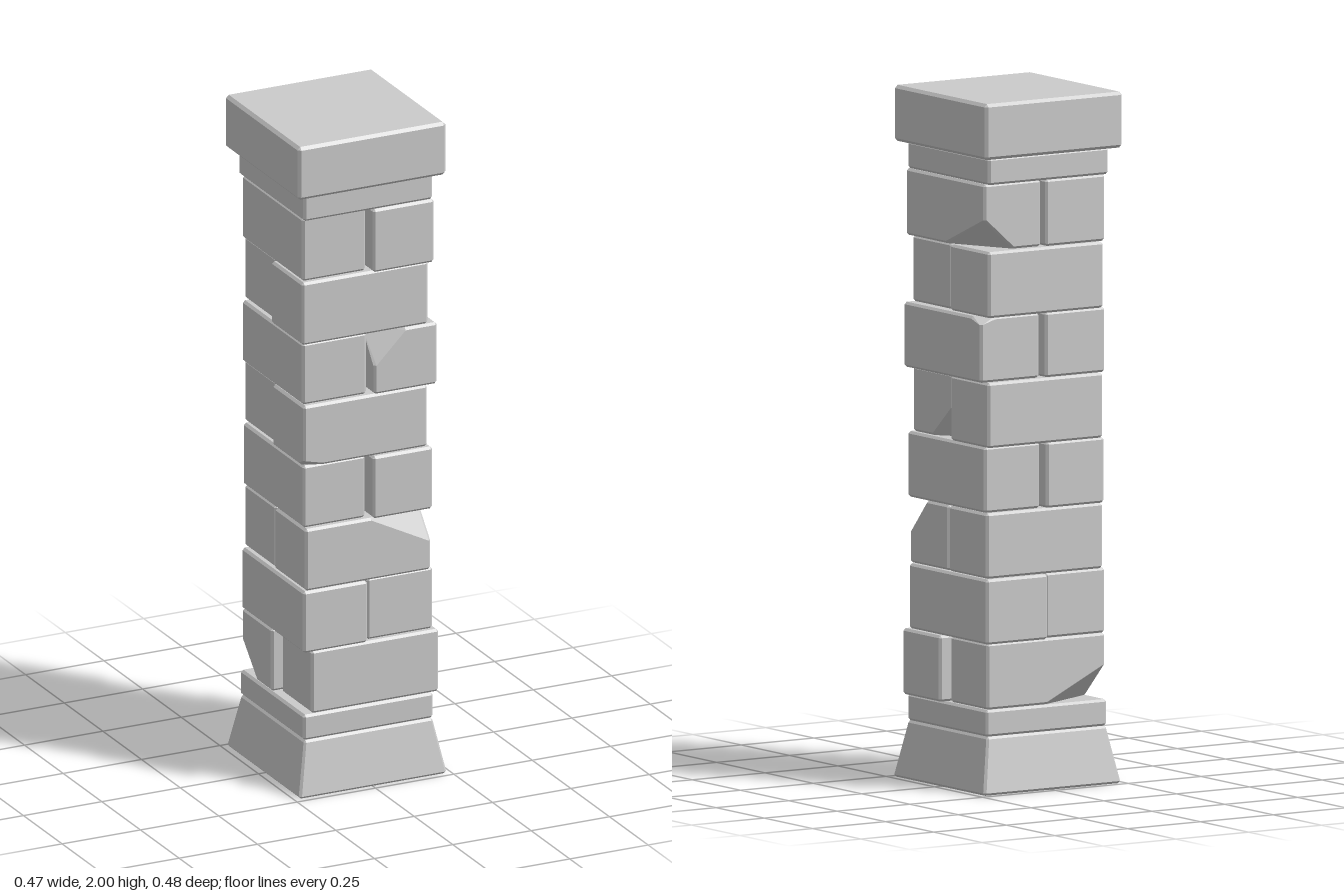
import * as THREE from 'three';
import { ConvexGeometry } from 'three/addons/geometries/ConvexGeometry.js';

const material = new THREE.MeshStandardMaterial({ color: 0xcccccc, flatShading: true });

// Chamfered block between min and max. A chip is { at: corner signs, cut: lengths along x, y, z }.
function block(name, min, max, { bevel = 0.007, chips = [], taper = 1 } = {}) {
  const points = [];
  for (const sx of [-1, 1]) for (const sy of [-1, 1]) for (const sz of [-1, 1]) {
    const sign = [sx, sy, sz];
    const corner = sign.map((s, i) => (s < 0 ? min[i] : max[i]));
    const inset = (offsets) => {
      const p = corner.map((c, i) => c - sign[i] * offsets[i]);
      const k = sy > 0 ? taper : 1;
      points.push(new THREE.Vector3(p[0] * k, p[1], p[2] * k));
    };
    const chip = chips.find((c) => c.at.every((s, i) => s === sign[i]));
    for (let a = 0; a < 3; a++) {
      if (!chip) {
        inset([0, 1, 2].map((i) => (i === a ? 0 : bevel)));
        continue;
      }
      // Broken corner: move it back along each of its three edges
      for (const b of [(a + 1) % 3, (a + 2) % 3]) {
        inset([0, 1, 2].map((i) => (i === a ? chip.cut[a] : i === b ? bevel : 0)));
      }
    }
  }
  const mesh = new THREE.Mesh(new ConvexGeometry(points), material);
  mesh.name = name;
  return mesh;
}

export function createModel() {
  const group = new THREE.Group();
  group.name = 'brickColumn';

  // Plinth and cap
  group.add(
    block('base', [-0.235, 0, -0.237], [0.235, 0.165, 0.237], { taper: 0.875 }),
    block('lowerSlab', [-0.207, 0.165, -0.206], [0.207, 0.242, 0.206]),
    block('upperSlab', [-0.21, 1.76, -0.21], [0.202, 1.838, 0.214]),
    block('cap', [-0.24, 1.838, -0.24], [0.232, 2, 0.24], { bevel: 0.009 }),
  );

  // Courses from the bottom up. Each has two bricks lying along one axis:
  // from/to along that axis, near/far across it.
  const courses = [
    { along: 'x', y: [0.242, 0.433], bricks: [
      { from: -0.205, to: 0.2, near: -0.2, far: -0.006, chips: [{ at: [-1, -1, -1], cut: [0.2, 0.1, 0.1] }] },
      { from: -0.18, to: 0.226, near: 0.008, far: 0.203 }] },
    { along: 'z', y: [0.433, 0.621], bricks: [
      { from: -0.195, to: 0.208, near: -0.208, far: -0.003 },
      { from: -0.217, to: 0.19, near: 0.003, far: 0.213 }] },
    { along: 'x', y: [0.621, 0.81], bricks: [
      { from: -0.195, to: 0.204, near: -0.203, far: -0.004 },
      { from: -0.2, to: 0.2, near: 0.003, far: 0.204, chips: [{ at: [1, 1, 1], cut: [0.19, 0.1, 0.09] }] }] },
    { along: 'z', y: [0.81, 1.0], bricks: [
      { from: -0.203, to: 0.19, near: -0.2, far: -0.002 },
      { from: -0.19, to: 0.213, near: 0.012, far: 0.202 }] },
    { along: 'x', y: [1.0, 1.188], bricks: [
      { from: -0.19, to: 0.205, near: -0.212, far: -0.014 },
      { from: -0.205, to: 0.19, near: -0.002, far: 0.203, chips: [
        { at: [1, -1, -1], cut: [0.08, 0.09, 0.1] }, { at: [-1, -1, 1], cut: [0.06, 0.02, 0.03] }] }] },
    { along: 'z', y: [1.188, 1.376], bricks: [
      { from: -0.203, to: 0.19, near: -0.203, far: 0.002 },
      { from: -0.195, to: 0.206, near: 0.018, far: 0.22, chips: [
        { at: [-1, 1, 1], cut: [0.1, 0.1, 0.08] }, { at: [1, 1, -1], cut: [0.05, 0.02, 0.05] }] }] },
    { along: 'x', y: [1.376, 1.567], bricks: [
      { from: -0.19, to: 0.205, near: -0.214, far: -0.012 },
      { from: -0.21, to: 0.192, near: 0.0, far: 0.203 }] },
    { along: 'z', y: [1.567, 1.76], bricks: [
      { from: -0.202, to: 0.19, near: -0.203, far: 0.0 },
      { from: -0.192, to: 0.217, near: 0.01, far: 0.205, chips: [{ at: [1, -1, -1], cut: [0.1, 0.09, 0.2] }] }] },
  ];
  courses.forEach(({ along, y, bricks }, i) => {
    const course = new THREE.Group();
    course.name = `course${i + 1}`;
    bricks.forEach(({ from, to, near, far, chips }, j) => {
      const place = (a, h, b) => (along === 'x' ? [a, h, b] : [b, h, a]);
      course.add(block(`brick${j + 1}`, place(from, y[0], near), place(to, y[1], far), { chips }));
    });
    group.add(course);
  });

  return group;
}
